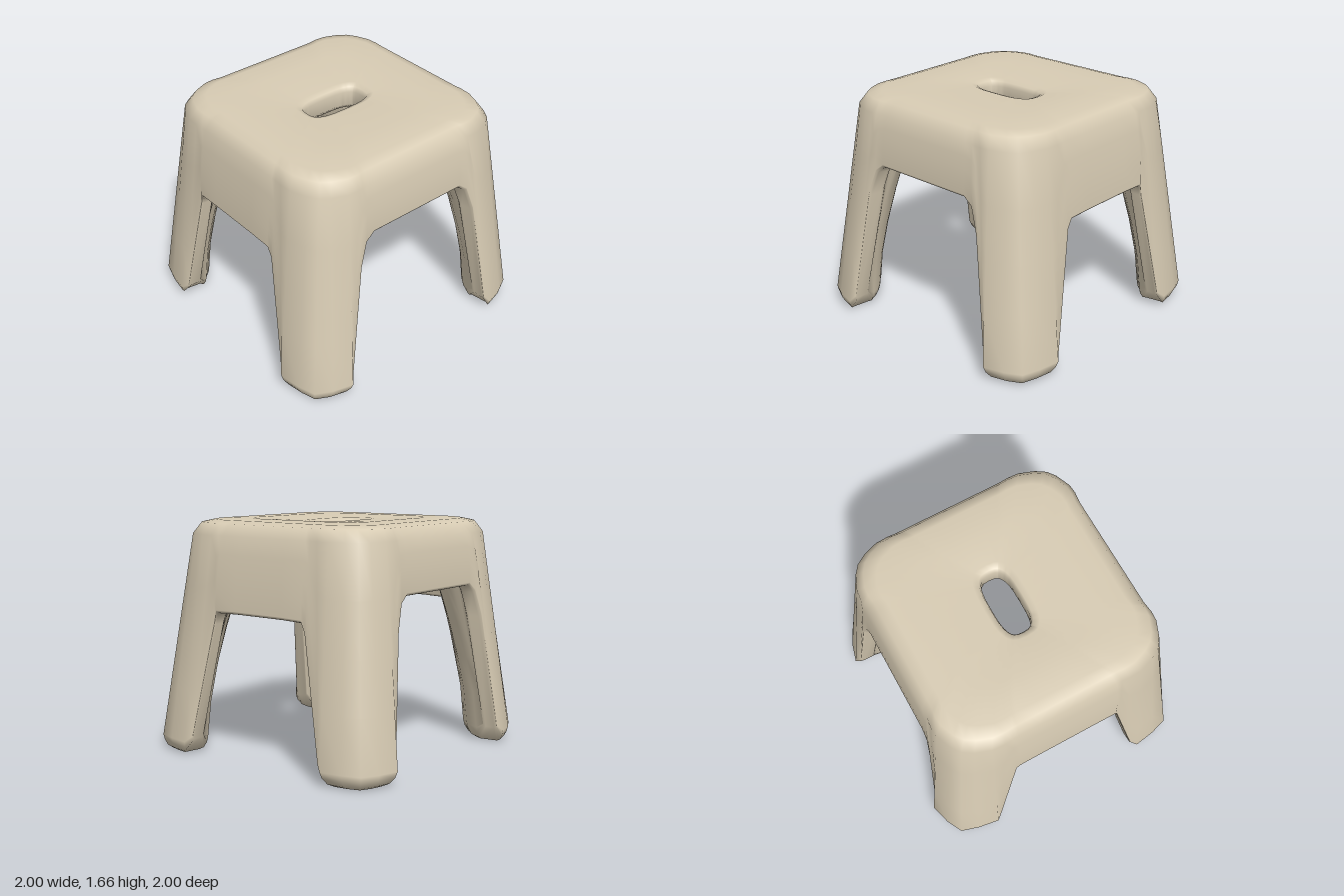
import * as THREE from 'three';

const lerp = (a, b, t) => a + (b - a) * t;

// Columns of one quarter, from the front centre round to the side centre:
// [shoulder x, z], [lower edge x, y, z], [inner lower edge x, z]
const COLUMNS = [
  [[0, 0.825], [0, 1.215, 0.865], [0, 0.78]],
  [[0.2, 0.825], [0.2, 1.215, 0.865], [0.2, 0.78]],
  [[0.37, 0.825], [0.39, 1.215, 0.865], [0.35, 0.78]],
  [[0.43, 0.825], [0.46, 1.16, 0.87], [0.42, 0.77]],
  [[0.47, 0.83], [0.52, 0.98, 0.89], [0.49, 0.78]],
  [[0.51, 0.835], [0.645, 0.14, 0.965], [0.64, 0.85]],
  [[0.58, 0.83], [0.675, 0.1, 1.0], [0.645, 0.79]],
  [[0.69, 0.785], [0.82, 0.1, 0.96], [0.685, 0.705]],
  [[0.75, 0.74], [0.935, 0.1, 0.9], [0.715, 0.665]],
  [[0.795, 0.67], [0.975, 0.1, 0.77], [0.75, 0.635]],
  [[0.835, 0.56], [1.0, 0.1, 0.615], [0.8, 0.58]],
  [[0.84, 0.47], [0.965, 0.14, 0.57], [0.86, 0.565]],
  [[0.835, 0.41], [0.89, 0.97, 0.405], [0.8, 0.4]],
  [[0.835, 0.37], [0.9, 1.05, 0.38], [0.8, 0.36]],
  [[0.835, 0.2], [0.9, 1.055, 0.2], [0.8, 0.2]],
  [[0.835, 0], [0.9, 1.055, 0], [0.8, 0]],
];

// Closed section through the shell: hole, seat, wall, foot or rim, inside, underside
function section([[tx, tz], [bx, by, bz], [ix, iz]]) {
  const p = [];
  const add = (x, y, z) => p.push([x, y, z]);
  const phase = Math.atan2(tz, tx);
  const hx = Math.pow(Math.abs(Math.cos(phase)), 0.65);
  const hz = Math.pow(Math.abs(Math.sin(phase)), 0.65);
  const hole = (a, b, y) => add(hx * a, y, hz * b);

  // grip hole and seat top
  hole(0.235, 0.108, 1.5);
  hole(0.235, 0.108, 1.6);
  hole(0.25, 0.12, 1.635);
  hole(0.29, 0.16, 1.65);
  for (const [s, y] of [[0.6, 1.664], [0.85, 1.66], [0.94, 1.64]]) add(tx * s, y, tz * s);

  // outer wall
  for (let k = 0; k <= 4; k++) {
    const bow = 1 + 0.012 * Math.sin((Math.PI * k) / 4) * (by > 0.9 ? 1 : 0);
    add(lerp(tx, bx, k / 4) * bow, lerp(1.56, by, k / 4), lerp(tz, bz, k / 4) * bow);
  }

  // rounded lower edge, closing towards the centre of the foot
  const foot = by <= 0.1;
  const cx = foot ? 0.82 : (bx + ix) / 2;
  const cz = foot ? 0.79 : (bz + iz) / 2;
  const drop = foot ? 0.1 : 0.02;
  const edge = [[0.06, 0.4], [0.2, 0.8], [0.4, 1]];
  for (const [t, d] of edge) add(lerp(bx, cx, t), by - drop * d, lerp(bz, cz, t));
  for (const [t, d] of [...edge].reverse()) add(lerp(ix, cx, t), by - drop * d, lerp(iz, cz, t));

  // inner wall, curving in to thicken the corners, and underside
  const s = 0.79 - 0.18 * Math.pow(Math.sin(2 * phase), 6);
  for (let k = 0; k <= 5; k++) {
    const bend = Math.pow(k / 5, 1.5);
    add(lerp(ix, tx * s, bend), lerp(by, 1.43, k / 5), lerp(iz, tz * s, bend));
  }
  add(tx * s * 0.85, 1.46, tz * s * 0.85);
  hole(0.27, 0.14, 1.46);
  return p;
}

function shellGeometry() {
  const quarter = COLUMNS.map(section);
  const n = quarter.length;
  const rings = [];
  // mirror the quarter round all four corners
  [[1, 1, false], [1, -1, true], [-1, -1, false], [-1, 1, true]].forEach(([sx, sz, reverse]) => {
    const cols = reverse ? [...quarter].reverse() : quarter;
    cols.slice(0, n - 1).forEach((c) => rings.push(c.map(([x, y, z]) => [x * sx, y, z * sz])));
  });
  const m = rings[0].length;
  const index = [];
  for (let i = 0; i < rings.length; i++) {
    const next = (i + 1) % rings.length;
    for (let j = 0; j < m; j++) {
      const k = (j + 1) % m;
      const a = i * m + j, b = i * m + k, c = next * m + k, d = next * m + j;
      index.push(a, b, c, a, c, d);
    }
  }
  const geometry = new THREE.BufferGeometry();
  geometry.setAttribute('position', new THREE.Float32BufferAttribute(rings.flat(2), 3));
  geometry.setIndex(index);
  geometry.computeVertexNormals();
  return geometry;
}

export function createModel() {
  const group = new THREE.Group();
  group.name = 'stool';
  const beige = new THREE.MeshStandardMaterial({ color: 0xd8ccb4 });
  beige.name = 'beige plastic';
  const shell = new THREE.Mesh(shellGeometry(), beige);
  shell.name = 'seatAndLegs';
  group.add(shell);
  return group;
}
